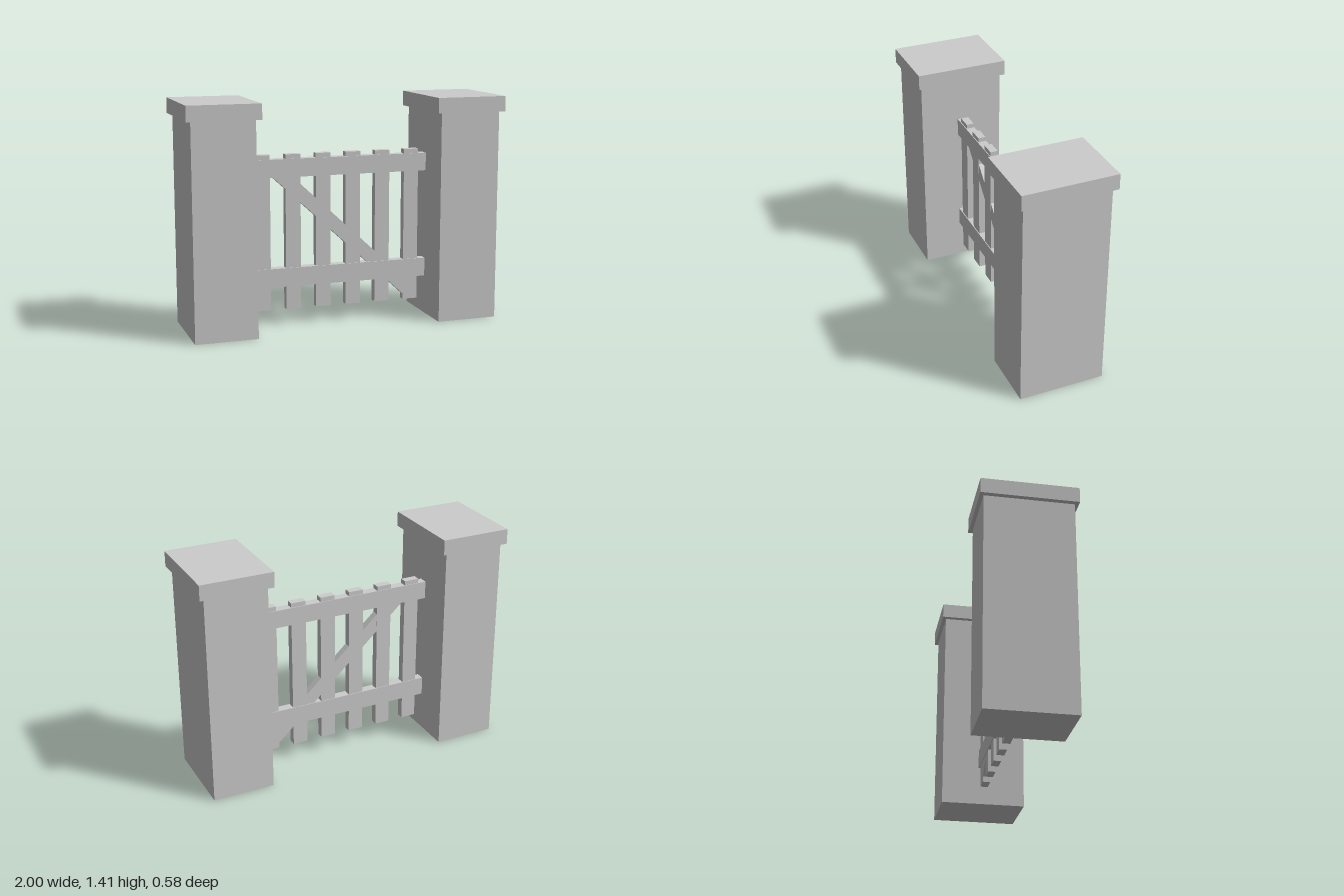
import * as THREE from 'three';

export function createModel() {
  const model = new THREE.Group();
  model.name = 'gateWithPosts';
  const stone = new THREE.MeshStandardMaterial({ color: 0xcccccc });
  stone.name = 'lightGrey';

  // Box given by its limits on each axis
  function box(name, [x0, x1], [y0, y1], [z0, z1], parent) {
    const mesh = new THREE.Mesh(new THREE.BoxGeometry(x1 - x0, y1 - y0, z1 - z0), stone);
    mesh.position.set((x0 + x1) / 2, (y0 + y1) / 2, (z0 + z1) / 2);
    mesh.name = name;
    parent.add(mesh);
  }

  // Square posts with overhanging caps
  for (const [side, s] of [['left', 1], ['right', -1]]) {
    const span = (a, b) => (s > 0 ? [a, b] : [-b, -a]);
    const post = new THREE.Group();
    post.name = side + 'Post';
    box('postShaft', span(0.584, 0.97), [0, 1.315], [-0.267, 0.267], post);
    box('postCap', span(0.553, 1), [1.315, 1.41], [-0.29, 0.29], post);
    model.add(post);
  }

  const gate = new THREE.Group();
  gate.name = 'gate';
  model.add(gate);

  // Horizontal rails
  box('topRail', [-0.585, 0.585], [0.93, 1.042], [-0.031, 0.026], gate);
  box('bottomRail', [-0.585, 0.585], [0.245, 0.362], [-0.031, 0.026], gate);

  // Upright pickets
  for (let i = 0; i < 6; i++) {
    const x = (i - 2.5) * 0.1942;
    box('picket', [x - 0.048, x + 0.048], [0.1, 1.07], [-0.027, 0.021], gate);
  }

  // Diagonal brace, its ends hidden inside rail and picket
  const upper = (x) => 0.657 - 0.93 * x;
  const lower = (x) => 0.542 - 0.93 * x;
  const outline = new THREE.Shape([
    new THREE.Vector2(-0.485, lower(-0.485)),
    new THREE.Vector2(0.46, lower(0.46)),
    new THREE.Vector2(0.46, upper(0.46)),
    new THREE.Vector2(-0.37, upper(-0.37)),
  ]);
  const brace = new THREE.Mesh(
    new THREE.ExtrudeGeometry(outline, { depth: 0.046, bevelEnabled: false }), stone);
  brace.position.z = -0.026;
  brace.name = 'diagonalBrace';
  gate.add(brace);

  return model;
}
